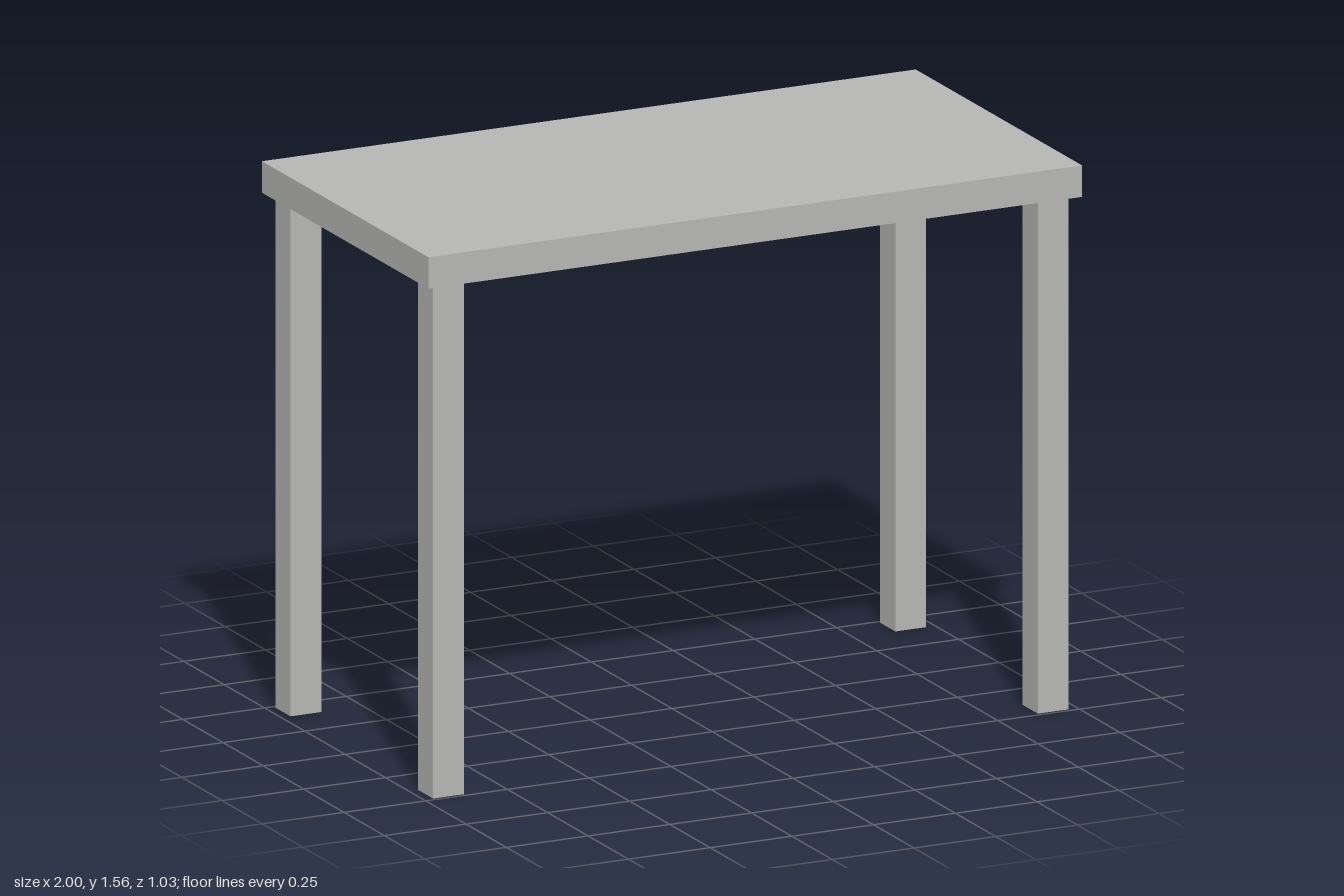
import * as THREE from 'three';

export function createModel() {
  const table = new THREE.Group();
  table.name = 'table';

  const grey = new THREE.MeshStandardMaterial({ color: 0xb6b6b5 });
  grey.name = 'grey';

  const height = 1.56, topThickness = 0.09, legSize = 0.094;
  const legHeight = height - topThickness;

  // Rectangular slab top
  const top = new THREE.Mesh(new THREE.BoxGeometry(2, topThickness, 1.032), grey);
  top.name = 'tableTop';
  top.position.y = height - topThickness / 2;
  table.add(top);

  // Four square legs, slightly inset from the corners
  const legGeometry = new THREE.BoxGeometry(legSize, legHeight, legSize);
  for (const [zSign, zName] of [[1, 'front'], [-1, 'back']]) {
    for (const [xSign, xName] of [[1, 'Left'], [-1, 'Right']]) {
      const leg = new THREE.Mesh(legGeometry, grey);
      leg.name = `${zName}${xName}Leg`;
      leg.position.set(xSign * 0.925, legHeight / 2, zSign * 0.442);
      table.add(leg);
    }
  }

  return table;
}
